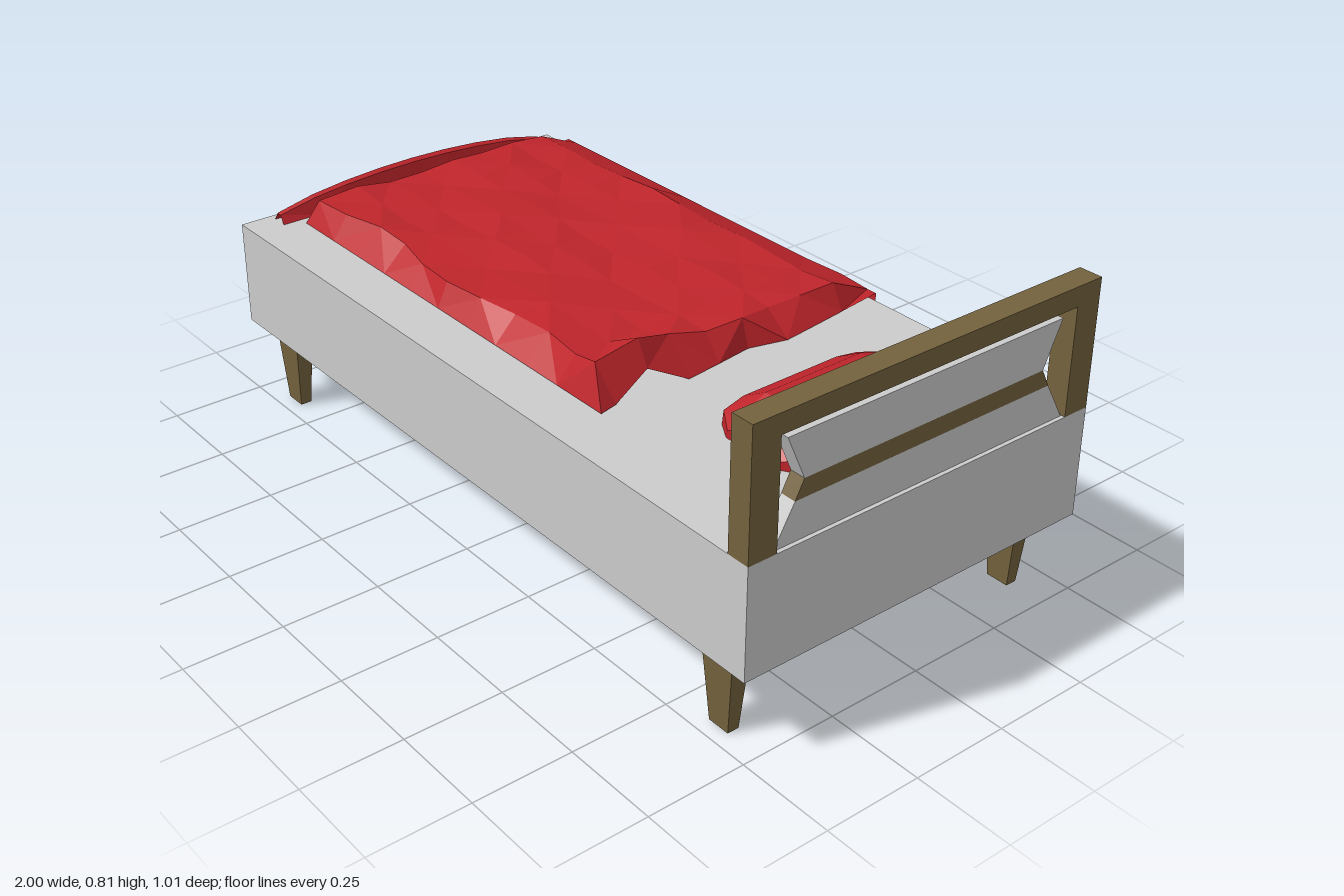
import * as THREE from 'three';

const mat = (color, side = THREE.FrontSide) =>
  new THREE.MeshStandardMaterial({ color, flatShading: true, side });
const grey = mat(0xcccccc);
const wood = mat(0x74623e);
const red = mat(0xbf252b, THREE.DoubleSide);
const MID_Z = 0.01; // centre line of the bed frame
const BED_TOP = 0.49;

function add(parent, name, geometry, material) {
  const mesh = new THREE.Mesh(geometry, material);
  mesh.name = name;
  parent.add(mesh);
  return mesh;
}

// Box given by its two extreme corners
function boxBetween([x0, y0, z0], [x1, y1, z1]) {
  return new THREE.BoxGeometry(x1 - x0, y1 - y0, z1 - z0)
    .translate((x0 + x1) / 2, (y0 + y1) / 2, (z0 + z1) / 2);
}

// Symmetric slab standing across the bed: half widths at given heights
function crossSlab(levels, x0, x1) {
  const pts = [
    ...levels.map(([w, y]) => new THREE.Vector2(w, y)),
    ...levels.map(([w, y]) => new THREE.Vector2(-w, y)).reverse(),
  ];
  return new THREE.ExtrudeGeometry(new THREE.Shape(pts), { depth: x1 - x0, bevelEnabled: false })
    .rotateY(Math.PI / 2).translate(x0, 0, MID_Z);
}

// Open surface through equally long rows of [x, y, z] points
function surface(rows) {
  const n = rows[0].length;
  const index = [];
  for (let j = 0; j < rows.length - 1; j++) {
    for (let i = 0; i < n - 1; i++) {
      const a = j * n + i, b = a + 1, c = a + n, d = c + 1;
      if ((i + j) % 2) index.push(a, c, b, b, c, d);
      else index.push(a, c, d, a, d, b);
    }
  }
  const g = new THREE.BufferGeometry();
  g.setAttribute('position', new THREE.Float32BufferAttribute(rows.flat(2), 3));
  g.setIndex(index);
  g.computeVertexNormals();
  return g;
}

// Tapered leg, wider along the bed than across it
function legGeometry() {
  const g = new THREE.BoxGeometry(0.1, 0.21, 0.05).translate(0, 0.105, 0);
  const p = g.attributes.position;
  for (let i = 0; i < p.count; i++) {
    if (p.getY(i) < 0.1) p.setXYZ(i, p.getX(i) * 0.6, 0, p.getZ(i) * 0.6);
  }
  return g;
}

// Rumpled cover: raised cloth, hanging over the back edge of the bed
function blanketGeometry() {
  const xs = [-0.9, -0.88, -0.76, -0.64, -0.52, -0.4, -0.28, -0.16, -0.04, 0.08, 0.2, 0.3, 0.35];
  const zs = [-0.5, -0.5, -0.38, -0.28, -0.18, -0.08, 0.02, 0.12, 0.22, 0.32, 0.37];
  const last = xs.length - 1, front = zs.length - 1;
  const rows = zs.map((z0, j) => xs.map((x0, i) => {
    let x = x0, z = z0, y;
    const wave = Math.sin(i * 1.9 + j * 2.3) + Math.sin(i * 0.8 - j * 1.4);
    if (j < 2) { // hanging strip
      y = j === 0 ? 0.43 : 0.5;
      if (i === 0) x -= 0.015;
      if (i === last) x = 0.33;
      if (i === 10) z -= 0.008;
      return [x, y, z];
    }
    if (j === front || i === 0 || i === last) y = BED_TOP + 0.002;
    else {
      y = 0.554 + 0.005 * wave;
      x += 0.008 * wave * (i > 1 ? 1 : 0);
      if (j === front - 1) z += 0.018 * Math.sin(i * 1.3);
    }
    if (i === last) x += 0.015 * Math.sin(j * 2.1);
    // Turned-up fold at the corner near the pillow
    if (j >= 7 && j < front && i === last - 1) y += j === 8 ? 0.05 : 0.03;
    if (j === 8 && i === last) y += 0.05;
    return [x, y, z];
  }));
  return surface(rows);
}

// Pillow: one faceted section, shrunk toward both ends
function pillowGeometry() {
  const section = [[-0.14, 0], [-0.135, 0.05], [-0.06, 0.092], [0.065, 0.073], [0.135, 0.045], [0.14, 0], [-0.14, 0]];
  const stations = [[-0.245, 0, 0.3], [-0.245, 0.74, 0.4], [-0.215, 1, 0.8], [-0.15, 1, 1],
    [0.13, 0.98, 1], [0.19, 0.95, 0.75], [0.22, 0.6, 0.4], [0.22, 0, 0.3]];
  return surface(stations.map(([z, w, h]) =>
    section.map(([x, y]) => [0.69 + x * w, BED_TOP + y * h, z])));
}

// Thin ridge of cloth tucked at the foot
function foldGeometry() {
  const rows = [];
  for (let j = 0; j <= 8; j++) {
    const z = -0.42 + 0.105 * j;
    const h = 0.07 * Math.sqrt(Math.sin(Math.PI * (0.04 + 0.92 * j / 8)));
    rows.push([[-0.975, BED_TOP, z], [-0.958, BED_TOP + h, z], [-0.945, BED_TOP + h * 0.9, z],
      [-0.93, BED_TOP, z]]);
  }
  return surface(rows);
}

export function createModel() {
  const bed = new THREE.Group();
  bed.name = 'bed';

  add(bed, 'mattressBase', boxBetween([-1, 0.21, -0.485], [1, BED_TOP, 0.505]), grey);

  const legs = new THREE.Group();
  legs.name = 'legs';
  bed.add(legs);
  for (const x of [-0.875, 0.875]) {
    for (const z of [-0.411, 0.445]) add(legs, 'leg', legGeometry(), wood).position.set(x, 0, z);
  }

  // Headboard: wooden arch around a waisted padded panel
  const headboard = new THREE.Group();
  headboard.name = 'headboard';
  bed.add(headboard);
  add(headboard, 'backPost', boxBetween([0.94, BED_TOP, -0.485], [1, 0.76, -0.415]), wood);
  add(headboard, 'frontPost', boxBetween([0.94, BED_TOP, 0.43], [1, 0.76, 0.505]), wood);
  add(headboard, 'topRail', boxBetween([0.94, 0.76, -0.485], [1, 0.81, 0.505]), wood);
  add(headboard, 'lowerPanel', crossSlab([[0.422, BED_TOP], [0.368, 0.585]], 0.95, 0.99), grey);
  add(headboard, 'middleRail', crossSlab([[0.368, 0.585], [0.345, 0.63]], 0.95, 0.99), wood);
  add(headboard, 'upperPanel', crossSlab([[0.345, 0.63], [0.394, 0.74]], 0.95, 0.99), grey);

  add(bed, 'blanket', blanketGeometry(), red);
  add(bed, 'pillow', pillowGeometry(), red);
  add(bed, 'footFold', foldGeometry(), red);
  return bed;
}
